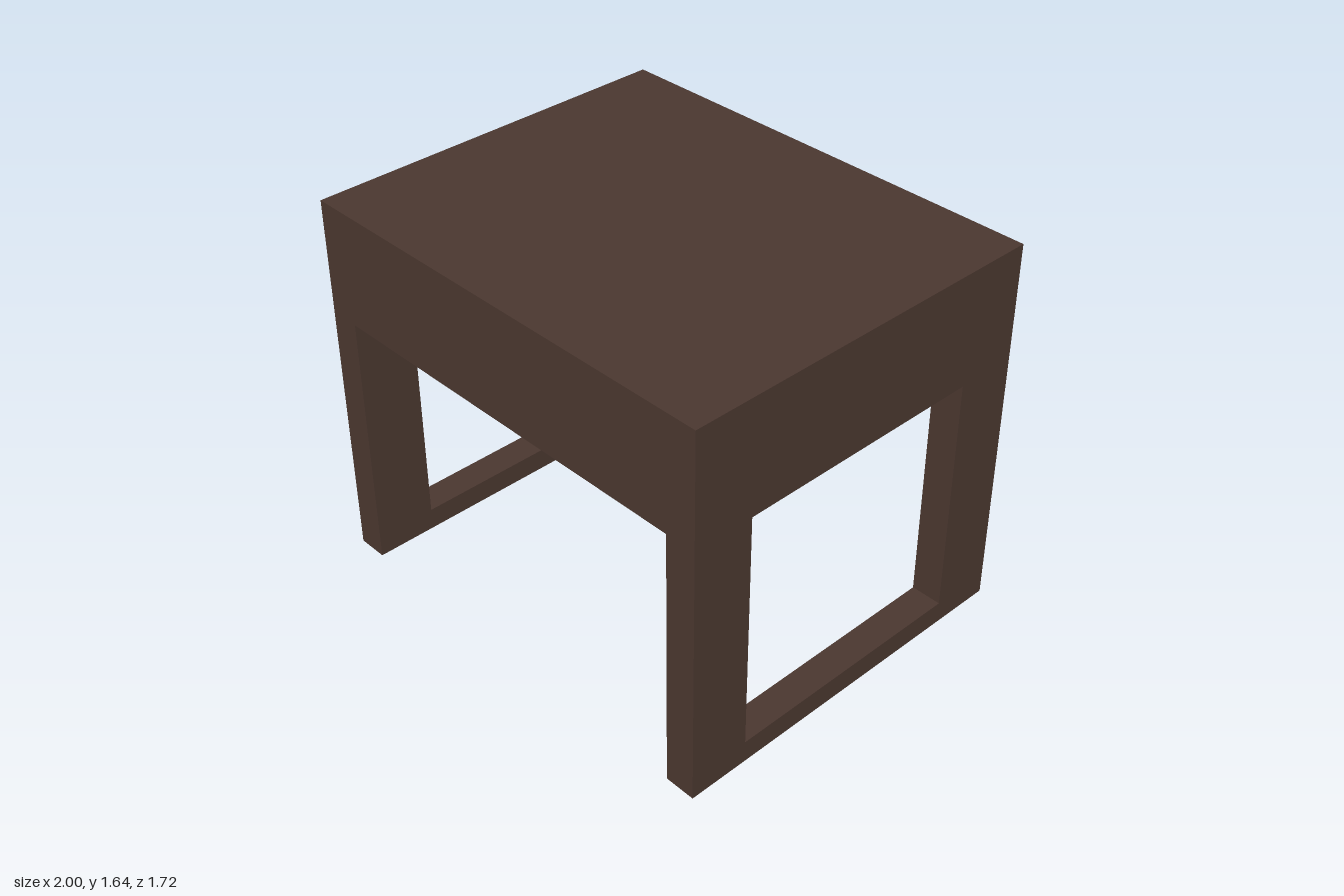
import * as THREE from 'three';

const wood = new THREE.MeshStandardMaterial({ color: 0x4a372f });
wood.name = 'dark wood';
const metal = new THREE.MeshStandardMaterial({ color: 0x7c7c7c });
metal.name = 'grey metal';

const BACK = -0.773, FRONT = 0.861, TOP = 1.637, APRON = 1.146, LEG = 0.134;

function add(parent, name, geometry, material) {
  const mesh = new THREE.Mesh(geometry, material);
  mesh.name = name;
  parent.add(mesh);
  return mesh;
}

// Block from z0 (half sizes a) out to z1 (half sizes b), tapering between the two
function taperedBlock(z0, z1, [ax, ay], [bx, by]) {
  const g = new THREE.BoxGeometry(2, 2, 2).toNonIndexed();
  const p = g.attributes.position;
  for (let i = 0; i < p.count; i++) {
    const inner = p.getZ(i) > 0;
    p.setXYZ(i, p.getX(i) * (inner ? ax : bx), p.getY(i) * (inner ? ay : by), inner ? z0 : z1);
  }
  g.computeVertexNormals();
  return g;
}

// U-shaped side frame: two legs joined by a floor rail
function sideFrameGeometry() {
  const outline = [
    [BACK, 0], [FRONT, 0], [FRONT, APRON], [0.595, APRON],
    [0.595, 0.096], [-0.502, 0.096], [-0.502, APRON], [BACK, APRON],
  ].map(([z, y]) => new THREE.Vector2(z, y));
  const g = new THREE.ExtrudeGeometry(new THREE.Shape(outline), { depth: LEG, bevelEnabled: false });
  g.rotateY(-Math.PI / 2);
  return g.translate(LEG / 2, 0, 0);
}

export function createModel() {
  const model = new THREE.Group();
  model.name = 'sideTable';

  // Solid upper case
  const body = add(model, 'case', new THREE.BoxGeometry(2, TOP - APRON, FRONT - BACK), wood);
  body.position.set(0, (TOP + APRON) / 2, (FRONT + BACK) / 2);

  // Leg frames on both sides
  for (const side of [1, -1]) {
    const frame = add(model, side > 0 ? 'leftLegFrame' : 'rightLegFrame', sideFrameGeometry(), wood);
    frame.position.x = side * (1 - LEG / 2);
  }

  // Bevelled drawer face
  const drawer = add(model, 'drawerFront',
    taperedBlock(BACK, -0.797, [0.863, 0.166], [0.798, 0.152]), wood);
  drawer.position.y = 1.314;

  // Drawer handle: neck, flare and grip plate
  const handle = new THREE.Group();
  handle.name = 'handle';
  handle.position.y = 1.316;
  model.add(handle);
  add(handle, 'handleNeck', taperedBlock(-0.79, -0.83, [0.112, 0.053], [0.112, 0.053]), metal);
  add(handle, 'handleFlare', taperedBlock(-0.83, -0.848, [0.112, 0.053], [0.142, 0.065]), metal);
  add(handle, 'handlePlate', taperedBlock(-0.848, -0.861, [0.144, 0.067], [0.144, 0.067]), metal);

  return model;
}
